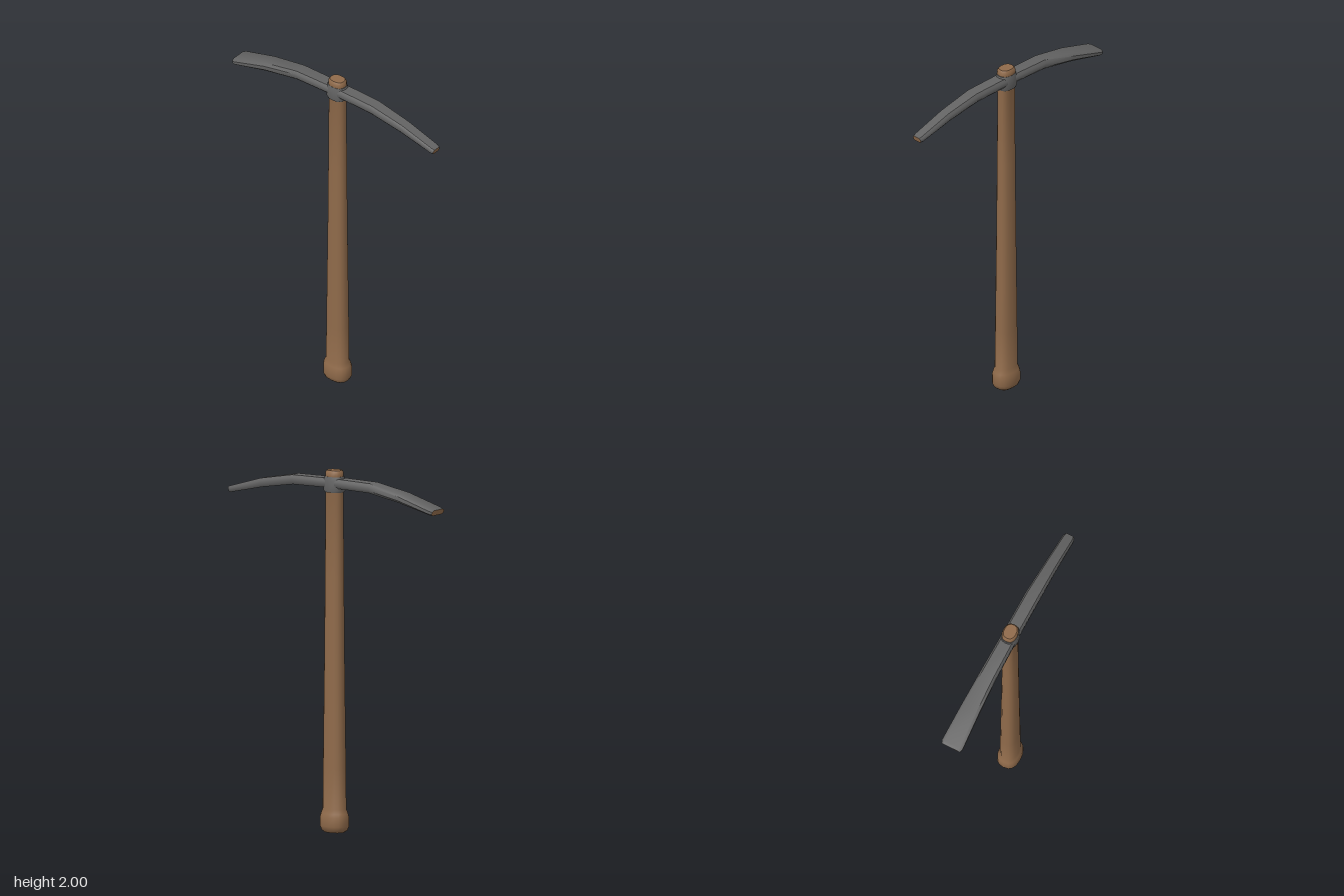
import * as THREE from 'three';
import { toCreasedNormals } from 'three/addons/utils/BufferGeometryUtils.js';

// Skin of quads through rings of points (counter-clockwise seen from the far end)
function skin(rings) {
  const n = rings[0].length, index = [];
  for (let r = 0; r < rings.length - 1; r++) {
    for (let i = 0; i < n; i++) {
      const a = r * n + i, b = r * n + (i + 1) % n;
      index.push(a, b, b + n, a, b + n, a + n);
    }
  }
  const g = new THREE.BufferGeometry();
  g.setAttribute('position', new THREE.Float32BufferAttribute(rings.flat(2), 3));
  g.setIndex(index);
  return toCreasedNormals(g, 0.8);
}

// Flat fan closing one ring
function cap(ring, flip) {
  const index = [];
  for (let i = 1; i < ring.length - 1; i++) index.push(0, flip ? i + 1 : i, flip ? i : i + 1);
  const g = new THREE.BufferGeometry();
  g.setAttribute('position', new THREE.Float32BufferAttribute(ring.flat(), 3));
  g.setIndex(index);
  g.computeVertexNormals();
  return g;
}

// Rounded-rectangle ring around the y axis
function ovalRing([y, rx, rz], power = 2.5, sides = 16) {
  const bend = (v) => Math.sign(v) * Math.abs(v) ** (2 / power);
  return Array.from({ length: sides }, (_, i) => {
    const a = (i / sides) * Math.PI * 2;
    return [rx * bend(Math.sin(a)), y, rz * bend(Math.cos(a))];
  });
}

// Bevelled ring across the head, leaning to stay square to its arch
function headRing([z, w, yc, h]) {
  const t = w * 0.74, m = h * 0.45, lean = 0.43 * z;
  return [[w, -m], [w, m], [t, h], [-t, h], [-w, m], [-w, -m], [-t, -h], [t, -h]]
    .map(([x, y]) => [x, yc + y, z + lean * y]);
}

export function createModel() {
  const wood = new THREE.MeshStandardMaterial({ color: 0x8f6a4a });
  wood.name = 'wood';
  const iron = new THREE.MeshStandardMaterial({ color: 0x636363 });
  iron.name = 'iron';

  const group = new THREE.Group();
  group.name = 'pickaxe';
  const add = (name, geometry, material, parent = group) => {
    const mesh = new THREE.Mesh(geometry, material);
    mesh.name = name;
    parent.add(mesh);
  };
  const addLoft = (name, rings, material) => {
    const part = new THREE.Group();
    part.name = name;
    add(name + 'Side', skin(rings), material, part);
    add(name + 'Bottom', cap(rings[0], true), material, part);
    add(name + 'Top', cap(rings[rings.length - 1], false), material, part);
    group.add(part);
  };

  // Handle with a swollen butt and a flared top: y, half width, half depth
  addLoft('handle', [
    [0, 0.042, 0.056], [0.012, 0.055, 0.073], [0.035, 0.063, 0.082],
    [0.085, 0.062, 0.082], [0.105, 0.057, 0.077], [0.13, 0.05, 0.067],
    [0.36, 0.048, 0.065], [1.0, 0.043, 0.057], [1.4, 0.04, 0.054],
    [1.95, 0.037, 0.05], [1.965, 0.042, 0.051], [1.988, 0.042, 0.051], [2, 0.034, 0.043],
  ].map((s) => ovalRing(s)), wood);

  // Iron collar around the eye
  addLoft('collar', [
    [1.88, 0.045, 0.055], [1.89, 0.048, 0.062], [1.945, 0.048, 0.062], [1.966, 0.043, 0.055],
  ].map((s) => ovalRing(s)), iron);

  // Arched head: distance, pick half width, adze half width, centre height, half thickness
  const stations = [
    [0, 0.044, 0.044, 1.931, 0.026], [0.26, 0.043, 0.048, 1.927, 0.026],
    [0.47, 0.037, 0.055, 1.89, 0.024], [0.675, 0.034, 0.063, 1.836, 0.017],
    [0.694, 0.028, 0.056, 1.831, 0.015],
  ];
  const adze = stations.slice(1).reverse().map(([d, , w, y, h]) => headRing([-d, w, y, h]));
  const pick = stations.map(([d, w, , y, h]) => headRing([d, w, y, h]));
  const rings = [...adze, ...pick];
  add('head', skin(rings), iron);

  // Brown end faces of both blades
  add('adzeEnd', cap(rings[0], true), wood);
  add('pickEnd', cap(rings[rings.length - 1], false), wood);

  return group;
}
